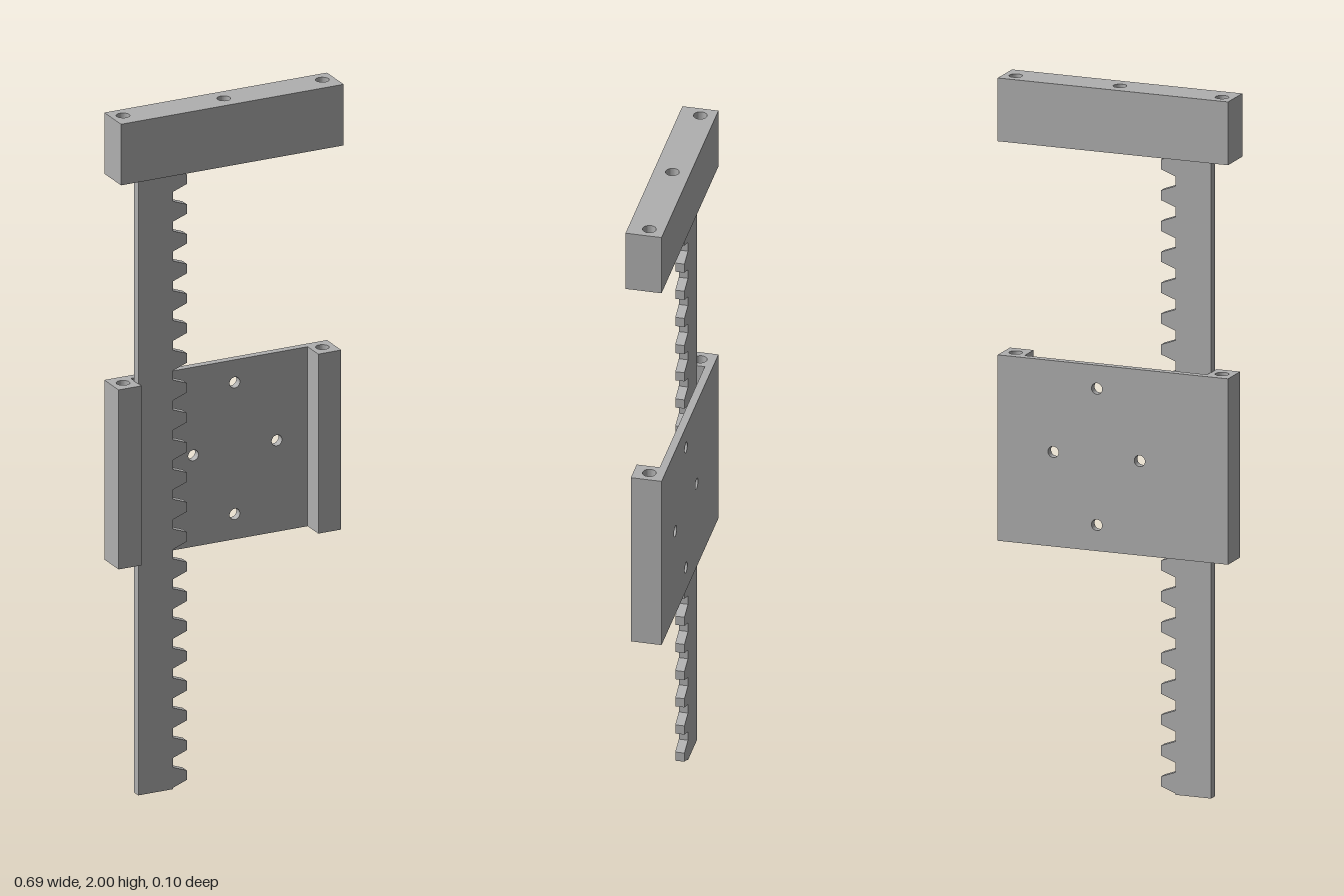
import * as THREE from 'three';

const grey = new THREE.MeshStandardMaterial({ color: 0xb0b0b0 });
grey.name = 'plain grey';

// Rectangular outline with round holes given as [x, y, radius]
function plate(x0, x1, y0, y1, holes) {
  const s = new THREE.Shape([[x0, y0], [x1, y0], [x1, y1], [x0, y1]].map(p => new THREE.Vector2(...p)));
  for (const [x, y, r] of holes) {
    const h = new THREE.Path();
    h.absarc(x, y, r, 0, Math.PI * 2, true);
    s.holes.push(h);
  }
  return s;
}

const extrude = (shape, depth) =>
  new THREE.ExtrudeGeometry(shape, { depth, bevelEnabled: false, curveSegments: 16 });

// Block drilled along y: the outline is drawn in x and -z, then stood up
function drilledBlock(name, x0, x1, z0, z1, y0, y1, holes) {
  const shape = plate(x0, x1, -z1, -z0, holes.map(([x, z, r]) => [x, -z, r]));
  const mesh = new THREE.Mesh(extrude(shape, y1 - y0).rotateX(-Math.PI / 2).translate(0, y0, 0), grey);
  mesh.name = name;
  return mesh;
}

export function createModel() {
  const model = new THREE.Group();
  model.name = 'rackSlide';
  const back = -0.051, rod = 0.019, rodX = 0.308, rodZ = -0.008;

  // Top cross bar with two rod holes and a centre hole
  model.add(drilledBlock('topBar', -0.344, 0.344, back, 0.051, 1.82, 2,
    [[-rodX, rodZ, rod], [0, -0.001, rod], [rodX, rodZ, rod]]));

  // Carriage: thin back plate between two drilled side rails
  const carriage = new THREE.Group();
  carriage.name = 'carriage';
  const bottom = 0.683, top = 1.212;
  const backPlate = new THREE.Mesh(extrude(plate(-0.273, 0.273, bottom, top, [
    [0.048, 1.145, 0.016], [0.048, 0.757, 0.016], [-0.08, 0.952, 0.016], [0.178, 0.952, 0.016],
  ]), 0.022).translate(0, 0, back), grey);
  backPlate.name = 'backPlate';
  carriage.add(
    backPlate,
    drilledBlock('leftRail', 0.273, 0.344, back, 0.036, bottom, top, [[rodX, rodZ, rod]]),
    drilledBlock('rightRail', -0.344, -0.273, back, 0.036, bottom, top, [[-rodX, rodZ, rod]]),
  );
  model.add(carriage);

  // Toothed rack hanging from the bar, teeth facing +x
  const root = -0.168, tip = -0.125, first = 0.034, pitch = 0.0878, teeth = 21;
  const outline = [[-0.275, 1.82], [-0.275, 0], [root, 0]];
  for (let i = 0; i < teeth; i++) {
    const y = first + i * pitch;
    outline.push([root, y - 0.03], [tip, y - 0.014], [tip, y + 0.014], [root, y + 0.03]);
  }
  outline[outline.length - 1][1] = 1.819;
  outline.push([root, 1.82]);
  const rack = new THREE.Mesh(
    extrude(new THREE.Shape(outline.map(p => new THREE.Vector2(...p))), 0.026).translate(0, 0, -0.006), grey);
  rack.name = 'toothedRack';
  model.add(rack);

  return model;
}
